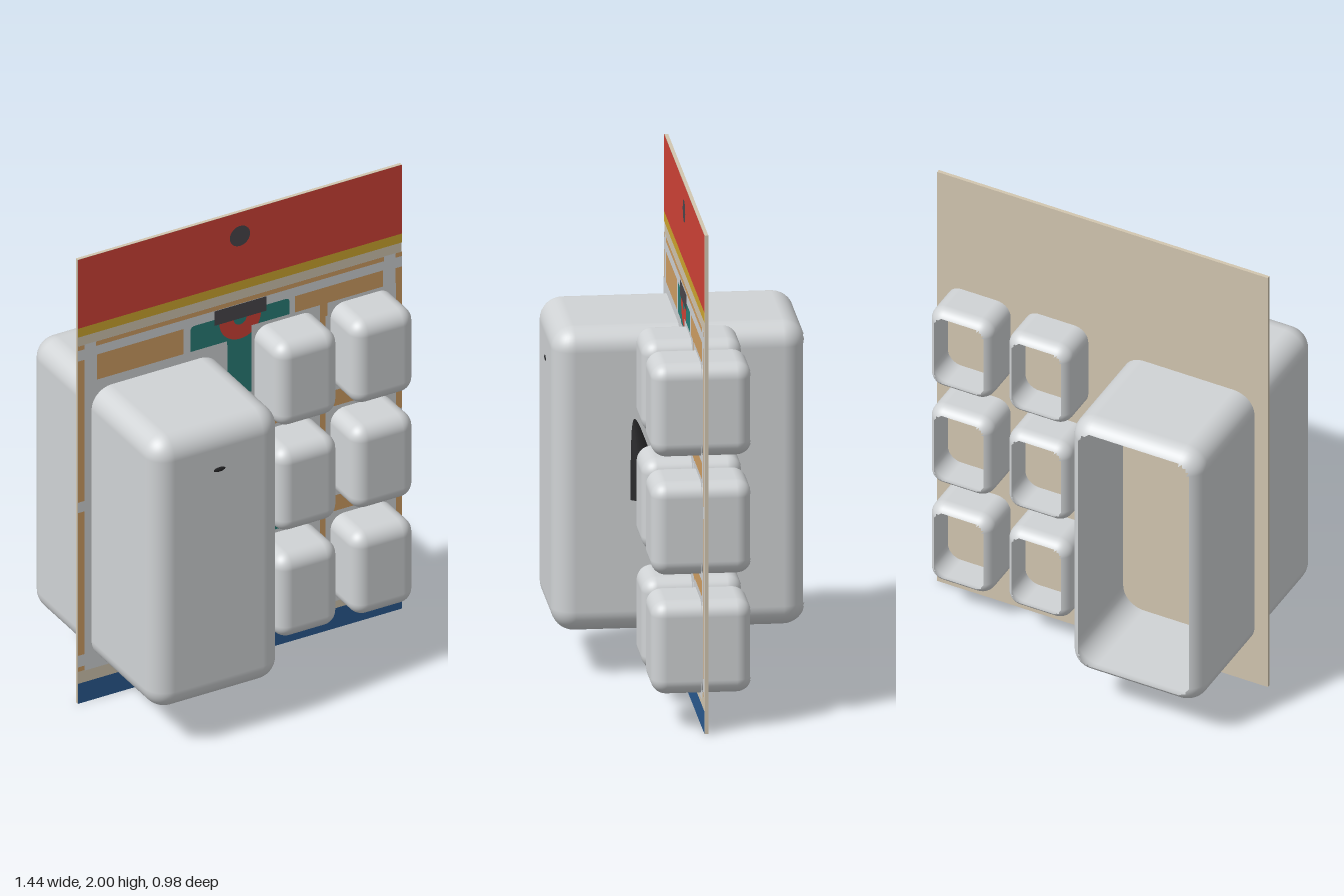
import * as THREE from 'three';
import { RoundedBoxGeometry } from 'three/addons/geometries/RoundedBoxGeometry.js';

const mat = (name, color, side = THREE.FrontSide) => {
  const m = new THREE.MeshStandardMaterial({ color, side });
  m.name = name;
  return m;
};

export function createModel() {
  const root = new THREE.Group();
  root.name = 'blisterPack';

  const cream = mat('cream card', 0xd2c6b0);
  const plastic = mat('pale plastic', 0xd0d3d5, THREE.DoubleSide);
  const red = mat('red print', 0xd04236);
  const yellow = mat('yellow print', 0xcfa62e);
  const orange = mat('tan print', 0xd09f64);
  const green = mat('teal print', 0x2a7f78);
  const blue = mat('blue print', 0x2a5a90);
  const grey = mat('charcoal print', 0x4a474c);
  const black = mat('black parts', 0x29292b);

  const add = (name, geo, material, x = 0, y = 0, z = 0, parent = root) => {
    const m = new THREE.Mesh(geo, material);
    m.name = name;
    m.position.set(x, y, z);
    parent.add(m);
    return m;
  };

  // Backing card
  const FRONT = -0.01;
  add('card', new THREE.BoxGeometry(1.44, 2, 0.014), cream, 0, 1, FRONT - 0.007);

  // Printed artwork: flat plates stacked in thin layers
  const print = new THREE.Group();
  print.name = 'print';
  root.add(print);
  const layerZ = (n) => FRONT + 0.0014 * n;
  const plate = (name, material, layer, x0, x1, y0, y1) =>
    add(name, new THREE.PlaneGeometry(x1 - x0, y1 - y0), material,
      (x0 + x1) / 2, (y0 + y1) / 2, layerZ(layer), print);

  plate('headerBand', red, 1, -0.72, 0.72, 1.69, 2);
  plate('headerStripe', yellow, 1, -0.72, 0.72, 1.65, 1.69);
  plate('footerBand', blue, 1, -0.72, 0.72, 0, 0.09);
  plate('roads', plastic, 1, -0.72, 0.72, 0.145, 1.61);
  add('hangDot', new THREE.CircleGeometry(0.045, 32), grey, 0, 1.895, layerZ(2), print);

  // City blocks between the roads
  const blocks = [
    [-0.64, 0.64, 1.59, 1.61], [-0.635, -0.25, 1.42, 1.55], [0.245, 0.635, 1.42, 1.55],
    [-0.05, 0.05, 0.69, 1.07], [0.05, 0.14, 0.95, 1.07], [0.2, 0.64, 1.0, 1.075],
    [0.26, 0.64, 0.53, 0.6], [0.355, 0.38, 0.217, 1.48],
    [-0.64, 0.64, 0.145, 0.165],
    [-0.04, 0.04, 1.148, 1.154], [-0.04, 0.04, 1.162, 1.168],
    [-0.04, 0.04, 0.606, 0.612], [-0.04, 0.04, 0.62, 0.626],
  ];
  for (const s of [-1, 1])
    for (const [y0, y1] of [[0.145, 0.165], [0.217, 0.86], [0.907, 1.543], [1.59, 1.61]]) {
      const a = 0.69 * s, b = 0.72 * s;
      blocks.push([Math.min(a, b), Math.max(a, b), y0, y1]);
    }
  for (const b of blocks) plate('cityBlock', orange, 2, ...b);

  // Rounded corner of the tan block beside the curved road
  add('curvedBlock', new THREE.CircleGeometry(0.12, 16, 0, Math.PI / 2), orange, 0.06, 0.95, layerZ(2), print);
  plate('middleSquare', yellow, 3, -0.05, 0.05, 0.81, 0.95);

  // Teal playing fields
  const field = (x0, x1, y0, y1, r) => {
    const s = new THREE.Shape();
    s.moveTo(x0, y0);
    s.lineTo(x1, y0);
    s.lineTo(x1, y1 - r);
    s.quadraticCurveTo(x1, y1, x1 - r, y1);
    s.lineTo(x0 + r, y1);
    s.quadraticCurveTo(x0, y1, x0, y1 - r);
    s.closePath();
    add('field', new THREE.ShapeGeometry(s), green, 0, 0, layerZ(2), print);
  };
  field(-0.22, 0.22, 1.42, 1.55, 0.02);
  field(-0.055, 0.055, 1.18, 1.43, 0.001);
  field(-0.055, 0.22, 0.17, 0.58, 0.05);

  // Red half rings with charcoal bars at both ends of the field
  add('upperRing', new THREE.RingGeometry(0.028, 0.092, 32, 1, Math.PI, Math.PI), red, 0, 1.525, layerZ(3), print);
  plate('upperBar', grey, 4, -0.115, 0.115, 1.525, 1.59);
  add('lowerRing', new THREE.RingGeometry(0.028, 0.092, 32, 1, 0, Math.PI), red, 0, 0.24, layerZ(3), print);
  plate('lowerBar', grey, 4, -0.055, 0.055, 0.17, 0.24);

  // Hollow rounded bubble, open at the back
  const bubble = (name, x0, x1, y0, y1, z0, z1, r) => {
    const d = z1 - z0;
    const src = new RoundedBoxGeometry(x1 - x0, y1 - y0, d, 5, r);
    const g = src.index ? src.toNonIndexed() : src;
    const p = g.attributes.position, n = g.attributes.normal;
    const pos = [], nor = [];
    for (let i = 0; i < p.count; i += 3) {
      const cz = (p.getZ(i) + p.getZ(i + 1) + p.getZ(i + 2)) / 3;
      if (cz < -d / 2 + r * 0.12) continue;
      for (let k = i; k < i + 3; k++) {
        pos.push(p.getX(k), p.getY(k), p.getZ(k));
        nor.push(n.getX(k), n.getY(k), n.getZ(k));
      }
    }
    const out = new THREE.BufferGeometry();
    out.setAttribute('position', new THREE.Float32BufferAttribute(pos, 3));
    out.setAttribute('normal', new THREE.Float32BufferAttribute(nor, 3));
    add(name, out, plastic, (x0 + x1) / 2, (y0 + y1) / 2, (z0 + z1) / 2);
  };

  plate('largeFlange', plastic, 5, -0.69, -0.06, 0.145, 1.44);
  bubble('largeBubble', -0.662, -0.09, 0.18, 1.4, -0.497, 0.491, 0.09);
  for (const [x0, x1] of [[0.062, 0.336], [0.4, 0.674]])
    for (const y0 of [0.14, 0.617, 1.091]) {
      plate('smallFlange', plastic, 5, x0 - 0.014, x1 + 0.016, y0 - 0.014, y0 + 0.389);
      bubble('smallBubble', x0, x1, y0, y0 + 0.374, -0.202, 0.19, 0.06);
    }

  // Dark contents that just break through the bubbles
  const base = new THREE.Vector3(-0.127, 0.728, 0.125);
  const tip = new THREE.Vector3(-0.11, 1.2, 0.2);
  const axis = tip.clone().sub(base);
  const mid = base.clone().add(tip).multiplyScalar(0.5);
  const cone = add('cone', new THREE.ConeGeometry(0.077, axis.length(), 32), black, mid.x, mid.y, mid.z);
  cone.quaternion.setFromUnitVectors(new THREE.Vector3(0, 1, 0), axis.normalize());

  const ball = new THREE.SphereGeometry(1, 24, 16);
  add('flatDisc', ball, black, 0.199, 0.365, 0.096).scale.set(0.155, 0.075, 0.008);
  add('frontTip', ball, black, -0.375, 1.216, 0.488).scale.set(0.03, 0.012, 0.006);

  return root;
}
